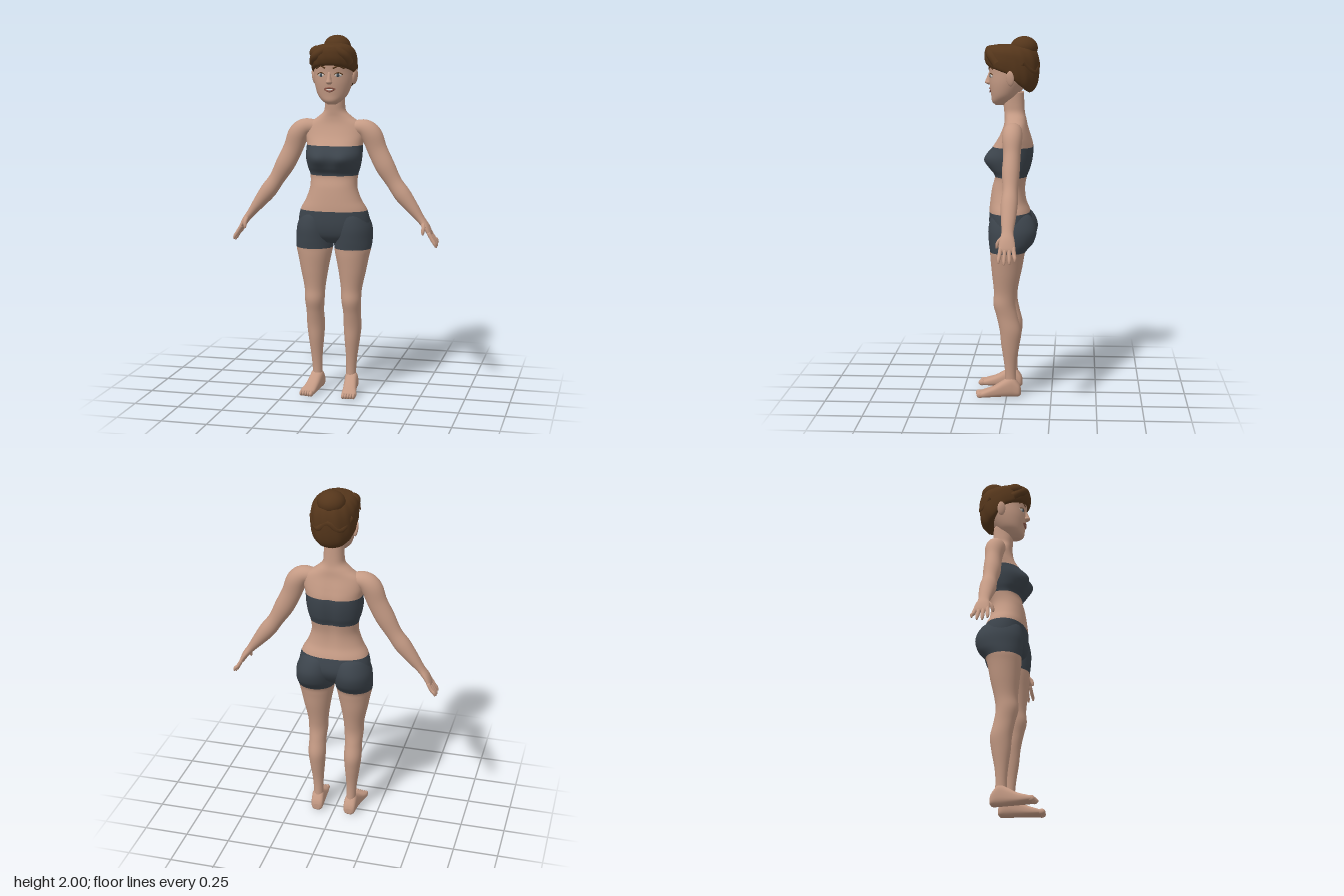
import * as THREE from 'three';

const mat = (name, color, side) => {
  const m = new THREE.MeshStandardMaterial({ color });
  m.name = name;
  if (side) m.side = side;
  return m;
};

// smooth interpolation through four neighbouring values
const spline = (a, b, c, d, t) =>
  b + 0.5 * t * (c - a + t * (2 * a - 5 * b + 4 * c - d + t * (3 * (b - c) + d - a)));

// Skin over oval sections [x, y, zFront, zBack, halfWidth, materialIndex].
// level: rings stay horizontal; otherwise they follow the path in the xy plane.
function loft(sections, { level = true, sides = 32, steps = 6, power = 1, deform } = {}) {
  const rings = [], rowMat = [], last = sections.length - 1;
  for (let i = 0; i < last; i++) {
    const q = [i - 1, i, i + 1, i + 2].map(k => sections[Math.min(last, Math.max(0, k))]);
    for (let s = 0; s < steps; s++) {
      rings.push([0, 1, 2, 3, 4].map(k => spline(q[0][k], q[1][k], q[2][k], q[3][k], s / steps)));
      rowMat.push(sections[i][5] || 0);
    }
  }
  rings.push(sections[last].slice(0, 5));
  const pos = [], index = [], p = new THREE.Vector3();
  const bend = v => Math.sign(v) * Math.pow(Math.abs(v), power);
  const add = (x, y, z) => {
    p.set(x, y, z);
    if (deform) deform(p);
    pos.push(p.x, p.y, p.z);
  };
  rings.forEach(([x, y, zf, zb, r], i) => {
    const a = rings[Math.max(0, i - 1)], b = rings[Math.min(rings.length - 1, i + 1)];
    const len = Math.hypot(b[0] - a[0], b[1] - a[1]) || 1;
    const ux = level ? 1 : (b[1] - a[1]) / len, uy = level ? 0 : (a[0] - b[0]) / len;
    for (let j = 0; j < sides; j++) {
      const t = j / sides * Math.PI * 2, s = bend(Math.sin(t)) * r;
      add(x + ux * s, y + uy * s, (zf + zb) / 2 + (zf - zb) / 2 * bend(Math.cos(t)));
    }
  });
  const geo = new THREE.BufferGeometry();
  const end = rings.length - 1, bottom = rings.length * sides;
  for (const [x, y, zf, zb] of [rings[0], rings[end]]) add(x, y, (zf + zb) / 2);
  const group = (m, fn) => { const s = index.length; fn(); geo.addGroup(s, index.length - s, m); };
  for (let i = 0; i < end; i++) group(rowMat[i], () => {
    for (let j = 0; j < sides; j++) {
      const k = (j + 1) % sides, a = i * sides + j, b = i * sides + k;
      index.push(a, b, a + sides, b, b + sides, a + sides);
    }
  });
  for (const [row, centre, m] of [[0, bottom, rowMat[0]], [end, bottom + 1, rowMat[end - 1]]]) group(m, () => {
    for (let j = 0; j < sides; j++) {
      const a = row * sides + j, b = row * sides + (j + 1) % sides;
      row ? index.push(centre, a, b) : index.push(centre, b, a);
    }
  });
  geo.setAttribute('position', new THREE.Float32BufferAttribute(pos, 3));
  geo.setIndex(index);
  geo.computeVertexNormals();
  return geo;
}

export function createModel() {
  const model = new THREE.Group();
  model.name = 'woman';
  const skin = mat('skin', 0xc49a84), cloth = mat('dark cloth', 0x3c444c), hair = mat('brown hair', 0x55361b);
  const white = mat('eye white', 0xd8d0c8), iris = mat('iris', 0x46505a), lip = mat('lips', 0x8f5a4c);
  const body = [skin, cloth];
  const put = (name, geo, m) => {
    const mesh = new THREE.Mesh(geo, m);
    mesh.name = name;
    model.add(mesh);
    return mesh;
  };
  const ball = (name, m, [x, y, z], [rx, ry, rz], turn = 0) => {
    const mesh = put(name, new THREE.SphereGeometry(1, 24, 16), m);
    mesh.position.set(x, y, z);
    mesh.scale.set(rx, ry, rz);
    mesh.rotation.y = turn;
    return mesh;
  };
  const tube = (name, m, pts, r) => put(name, new THREE.TubeGeometry(
    new THREE.CatmullRomCurve3(pts.map(q => new THREE.Vector3(...q))), 24, r, 10), m);

  // torso with shorts and bandeau
  put('torso', loft([
    [0, 0.86, 0.05, -0.06, 0.10, 1],
    [0, 0.90, 0.085, -0.11, 0.18, 1],
    [0, 0.96, 0.10, -0.14, 0.202, 1],
    [0, 1.04, 0.10, -0.127, 0.188, 0],
    [0, 1.10, 0.095, -0.105, 0.155, 0],
    [0, 1.17, 0.085, -0.10, 0.132, 0],
    [0, 1.235, 0.07, -0.112, 0.134, 1],
    [0, 1.28, 0.092, -0.13, 0.147, 1],
    [0, 1.34, 0.108, -0.143, 0.157, 1],
    [0, 1.40, 0.078, -0.145, 0.157, 0],
    [0, 1.455, 0.045, -0.13, 0.165, 0],
    [0, 1.51, 0.022, -0.112, 0.155, 0],
    [0, 1.55, 0.016, -0.105, 0.10, 0],
    [0, 1.585, 0.018, -0.097, 0.062, 0],
    [0, 1.63, 0.022, -0.093, 0.055, 0],
    [0, 1.70, 0.025, -0.09, 0.055, 0],
  ], {
    sides: 48, power: 0.9,
    deform: p => {
      const bump = Math.exp(-(((Math.abs(p.x) - 0.07) / 0.05) ** 2) - ((p.y - 1.33) / 0.05) ** 2);
      if (p.z > 0) p.z += 0.026 * bump;
      else p.z += 0.012 * Math.exp(-((p.x / 0.03) ** 2) - ((p.y - 1.3) / 0.2) ** 2);
    },
  }), body);

  for (const s of [1, -1]) {
    const side = s > 0 ? 'left' : 'right';
    const mirror = list => list.map(([x, ...rest]) => [x * s, ...rest]);

    // leg, its top part covered by the shorts
    put(side + 'Leg', loft(mirror([
      [0.097, 0.04, 0.01, -0.06, 0.028],
      [0.098, 0.12, 0.008, -0.052, 0.028],
      [0.101, 0.20, 0.015, -0.055, 0.032],
      [0.104, 0.30, 0.03, -0.072, 0.043],
      [0.106, 0.38, 0.038, -0.08, 0.05],
      [0.106, 0.46, 0.055, -0.062, 0.049],
      [0.105, 0.53, 0.073, -0.05, 0.055],
      [0.105, 0.60, 0.07, -0.057, 0.059],
      [0.108, 0.70, 0.08, -0.078, 0.077],
      [0.108, 0.78, 0.088, -0.092, 0.093],
      [0.109, 0.828, 0.091, -0.105, 0.103, 1],
      [0.109, 0.88, 0.097, -0.148, 0.107, 1],
      [0.106, 0.95, 0.10, -0.165, 0.105, 1],
      [0.095, 1.02, 0.085, -0.135, 0.085, 1],
      [0.09, 1.05, 0.05, -0.08, 0.05, 1],
    ])), body);

    // foot runs along z: lofted upright, then laid forward
    put(side + 'Foot', loft(mirror([
      [0.097, -0.08, -0.012, -0.045, 0.018],
      [0.097, -0.068, -0.002, -0.075, 0.033],
      [0.099, -0.03, 0, -0.115, 0.037],
      [0.103, 0.015, 0, -0.095, 0.037],
      [0.110, 0.07, 0, -0.062, 0.038],
      [0.118, 0.12, 0, -0.043, 0.042],
      [0.121, 0.15, -0.002, -0.033, 0.038],
    ]), { power: 0.75 }).rotateX(Math.PI / 2), skin);
    for (let i = 0; i < 5; i++)
      ball(side + 'Toe', skin, [s * (0.092 + i * 0.0145), 0.018, 0.153 - i * 0.002],
        [i ? 0.009 : 0.012, 0.016, 0.021]);

    // arm from shoulder to palm
    put(side + 'Arm', loft(mirror([
      [0.10, 1.495, 0.0, -0.08, 0.035],
      [0.165, 1.492, 0.015, -0.088, 0.05],
      [0.208, 1.455, 0.018, -0.09, 0.058],
      [0.24, 1.375, 0.01, -0.083, 0.055],
      [0.285, 1.285, 0.015, -0.08, 0.054],
      [0.335, 1.20, 0.008, -0.073, 0.044],
      [0.385, 1.13, 0.015, -0.075, 0.046],
      [0.44, 1.06, 0.01, -0.067, 0.035],
      [0.487, 1.0, 0.005, -0.058, 0.023],
      [0.518, 0.96, 0.014, -0.066, 0.019],
      [0.54, 0.92, 0.016, -0.07, 0.013],
      [0.545, 0.908, 0.005, -0.06, 0.006],
    ]), { level: false }), skin);

    // fingers and thumb
    const finger = (name, pts, r) => put(side + name, loft(mirror(pts.map(([x, y, z], i) => {
      const q = r * [1, 1, 0.85, 0.4][i];
      return [x, y, z + q, z - q, q];
    })), { level: false, sides: 12, steps: 4 }), skin);
    for (let i = 0; i < 4; i++) {
      const z = 0.006 - i * 0.022, spread = (1.5 - i) * 0.006, drop = [0.008, 0, 0.004, 0.018][i];
      finger('Finger', [[0.535, 0.93, z], [0.556, 0.895, z + spread / 2],
        [0.572, 0.862 + drop, z + spread], [0.577, 0.845 + drop, z + spread]], 0.0105);
    }
    finger('Thumb', [[0.502, 0.985, -0.005], [0.509, 0.96, 0.017], [0.508, 0.935, 0.026], [0.507, 0.92, 0.029]], 0.011);

    // ear, eye and brow
    ball(side + 'Ear', skin, [s * 0.116, 1.775, -0.02], [0.01, 0.042, 0.023], s * -0.4).rotation.z = s * -0.15;
    ball(side + 'Eye', white, [s * 0.047, 1.787, 0.085], [0.021, 0.011, 0.009], s * 0.4);
    ball(side + 'Iris', iris, [s * 0.046, 1.787, 0.089], [0.010, 0.010, 0.008], s * 0.4);
    tube(side + 'UpperLid', hair, [[s * 0.026, 1.79, 0.094], [s * 0.047, 1.800, 0.090], [s * 0.07, 1.79, 0.077]], 0.003);
    tube(side + 'Brow', hair, [[s * 0.02, 1.823, 0.10], [s * 0.05, 1.836, 0.091], [s * 0.078, 1.822, 0.072]], 0.0045);
  }

  // head, nose and mouth
  put('head', loft([
    [0, 1.626, 0.065, 0.01, 0.022],
    [0, 1.645, 0.085, -0.02, 0.052],
    [0, 1.68, 0.09, -0.06, 0.083],
    [0, 1.74, 0.098, -0.10, 0.103],
    [0, 1.80, 0.10, -0.13, 0.110],
    [0, 1.86, 0.103, -0.145, 0.108],
    [0, 1.91, 0.07, -0.12, 0.08],
    [0, 1.93, 0.02, -0.06, 0.03],
  ], { sides: 40 }), skin);
  put('nose', loft([
    [0, 1.738, 0.108, 0.08, 0.010],
    [0, 1.748, 0.124, 0.08, 0.018],
    [0, 1.765, 0.119, 0.08, 0.013],
    [0, 1.805, 0.102, 0.08, 0.009],
  ], { sides: 16 }), skin);
  ball('teeth', white, [0, 1.708, 0.091], [0.02, 0.006, 0.006]);
  tube('upperLip', lip, [[-0.03, 1.713, 0.086], [-0.01, 1.717, 0.096], [0.01, 1.717, 0.096], [0.03, 1.713, 0.086]], 0.0045);
  tube('lowerLip', lip, [[-0.03, 1.711, 0.086], [0, 1.699, 0.096], [0.03, 1.711, 0.086]], 0.005);

  // swept-up hair: the rim slopes from forehead to nape, fine grooves run over it
  put('hair', loft([
    [0, 0, 0.09, -0.10, 0.095],
    [0, 0.04, 0.112, -0.125, 0.116],
    [0, 0.25, 0.124, -0.157, 0.124],
    [0, 0.5, 0.126, -0.172, 0.124],
    [0, 0.75, 0.122, -0.172, 0.115],
    [0, 0.92, 0.108, -0.15, 0.088],
    [0, 1, 0.06, -0.10, 0.04],
  ], {
    sides: 64, steps: 8, power: 0.9,
    deform: p => {
      const rim = p.z > 0 ? 1.80 + p.z * 0.36 : 1.80 + p.z * 0.92;
      const groove = 1 + 0.012 * Math.sin(Math.atan2(p.x, p.z) * 16 + p.y * 5);
      p.y = rim + (1.955 - rim) * p.y;
      p.x *= groove;
      p.z *= groove;
    },
  }), hair);
  ball('bun', hair, [0, 1.937, -0.09], [0.075, 0.063, 0.075]);
  tube('frontRoll', hair, [[-0.10, 1.85, 0.04], [-0.075, 1.89, 0.09], [0, 1.925, 0.095], [0.07, 1.90, 0.085], [0.10, 1.85, 0.05]], 0.026);
  tube('backRoll', hair, [[-0.10, 1.86, -0.08], [-0.055, 1.81, -0.14], [0, 1.85, -0.155], [0.055, 1.81, -0.14], [0.10, 1.86, -0.08]], 0.023);
  ball('sideRoll', hair, [-0.075, 1.905, 0.05], [0.045, 0.04, 0.05]);
  return model;
}
